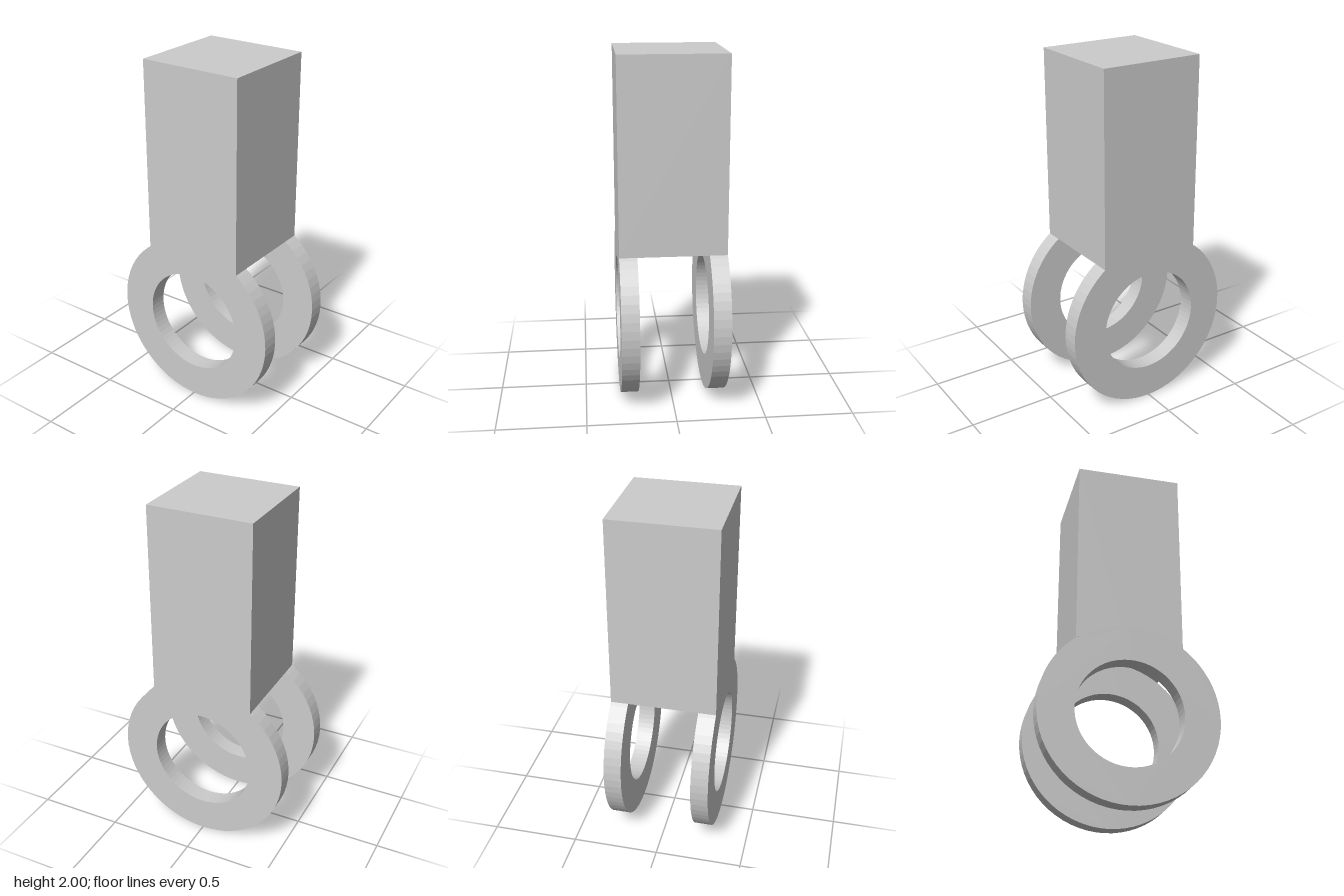
import * as THREE from 'three';

const OUTER = 0.5, INNER = 0.3, HALF = 0.3, TOP = 2, THICK = 0.1, SEGMENTS = 64;

export function createModel() {
  const model = new THREE.Group();
  const material = new THREE.MeshStandardMaterial({ color: 0xcccccc, flatShading: true });

  // Extrudes a side profile along x, starting at the given x
  const addPart = (name, shape, x, width) => {
    const geometry = new THREE.ExtrudeGeometry(shape, {
      depth: width, bevelEnabled: false, curveSegments: SEGMENTS / 2,
    });
    geometry.rotateY(Math.PI / 2);
    geometry.translate(x, 0, 0);
    const mesh = new THREE.Mesh(geometry, material);
    mesh.name = name;
    model.add(mesh);
  };

  // Square block whose underside is arched to follow the rings
  const block = new THREE.Shape();
  const start = Math.acos(HALF / OUTER);
  const step = (Math.PI * 2) / SEGMENTS;
  block.moveTo(HALF, TOP);
  block.lineTo(-HALF, TOP);
  block.lineTo(-HALF, OUTER + OUTER * Math.sin(start));
  for (let i = SEGMENTS / 2; i >= 0; i--) {
    const a = i * step;
    if (a > start && a < Math.PI - start) {
      block.lineTo(OUTER * Math.cos(a), OUTER + OUTER * Math.sin(a));
    }
  }
  block.lineTo(HALF, OUTER + OUTER * Math.sin(start));
  block.closePath();
  addPart('block', block, -HALF, HALF * 2);

  // Pair of flat rings, flush with the sides of the block
  const ring = new THREE.Shape().absarc(0, OUTER, OUTER, 0, Math.PI * 2, false);
  ring.holes.push(new THREE.Path().absarc(0, OUTER, INNER, 0, Math.PI * 2, true));
  addPart('leftRing', ring, HALF - THICK, THICK);
  addPart('rightRing', ring, -HALF, THICK);

  return model;
}
